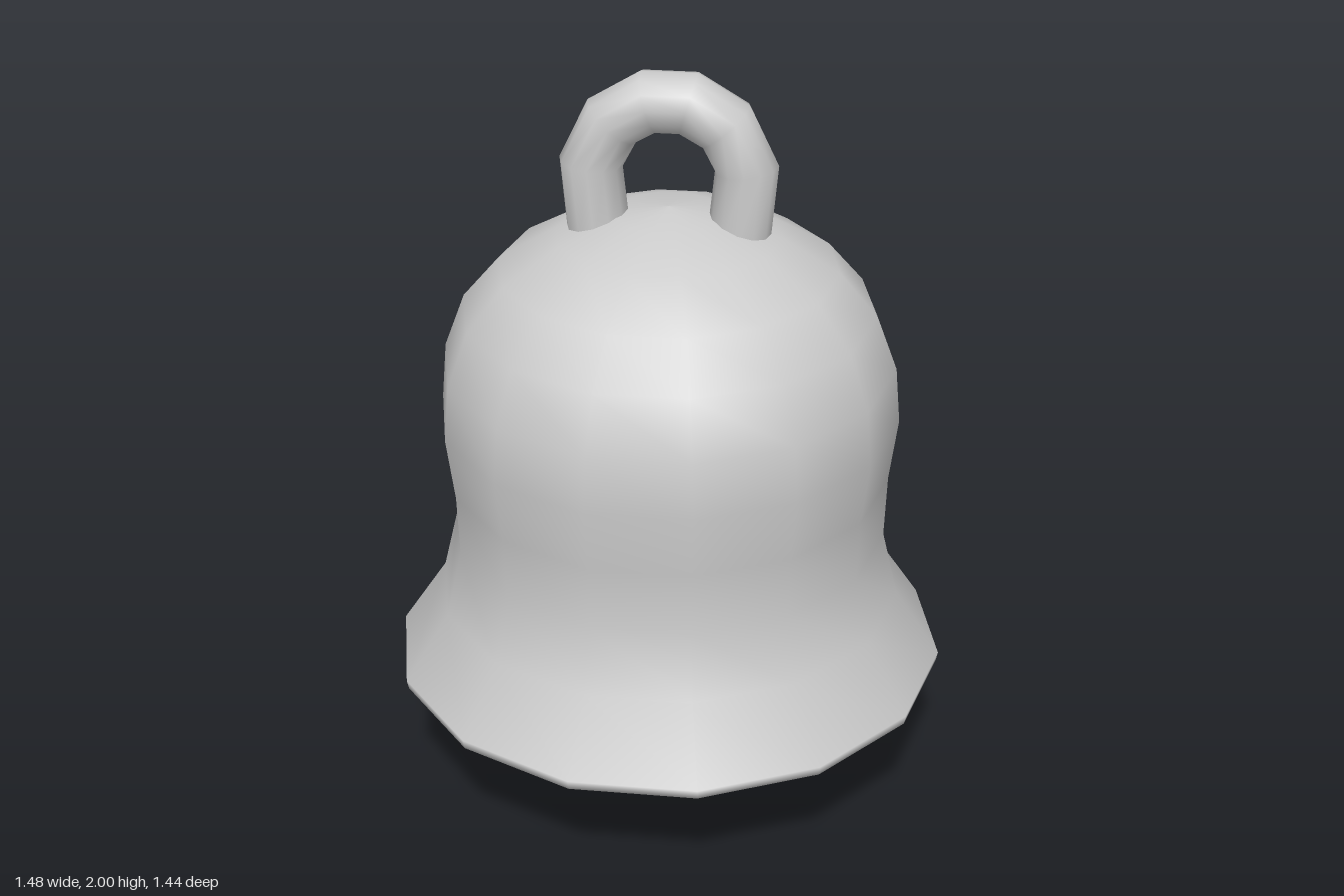
import * as THREE from 'three';

const SIDES = 14;
const material = new THREE.MeshStandardMaterial({ color: 0xcccccc });

function addPart(group, name, geometry) {
  const mesh = new THREE.Mesh(geometry, material);
  mesh.name = name;
  group.add(mesh);
  return mesh;
}

// Lathe with its corners on the x axis
function lathe(profile) {
  const points = profile.map(([r, y]) => new THREE.Vector2(r, y));
  return new THREE.LatheGeometry(points, SIDES, Math.PI / 2);
}

// Curve that runs straight between its points, one tube segment per span
class Polyline extends THREE.Curve {
  constructor(points) {
    super();
    this.points = points;
  }
  getPoint(t, target = new THREE.Vector3()) {
    const s = t * (this.points.length - 1);
    const i = Math.min(Math.floor(s), this.points.length - 2);
    return target.lerpVectors(this.points[i], this.points[i + 1], s - i);
  }
  getPointAt(u, target) { return this.getPoint(u, target); }
  getTangentAt(u, target) { return this.getTangent(u, target); }
}

export function createModel() {
  const bell = new THREE.Group();
  bell.name = 'bell';

  // Hollow shell: up the outside from the lip to the crown
  const outer = [
    [0.62, 0.32], [0.735, 0.343], [0.74, 0.368], [0.62, 0.55], [0.577, 0.73],
    [0.583, 0.9], [0.605, 1.07], [0.592, 1.22], [0.538, 1.365], [0.44, 1.48],
    [0.29, 1.57], [0.14, 1.625], [0, 1.643],
  ];
  // Inside wall, from the crown down to the lip
  const inner = [
    [0, 1.59], [0.14, 1.575], [0.27, 1.525], [0.405, 1.445], [0.495, 1.345],
    [0.547, 1.21], [0.56, 1.07], [0.54, 0.9], [0.535, 0.73], [0.565, 0.55], [0.6, 0.322],
  ];
  addPart(bell, 'shell', lathe([...inner, ...outer]));

  // Handle loop, half of it mirrored
  const half = [[0.178, 1.56], [0.197, 1.755], [0.143, 1.865], [0.05, 1.92]];
  const path = [
    ...half.map(([x, y]) => new THREE.Vector3(-x, y, 0)),
    ...half.slice().reverse().map(([x, y]) => new THREE.Vector3(x, y, 0)),
  ];
  addPart(bell, 'handle', new THREE.TubeGeometry(new Polyline(path), path.length - 1, 0.081, 12));

  // Clapper ball and the rod it hangs from
  const ball = addPart(bell, 'clapperBall', new THREE.SphereGeometry(0.31, SIDES, 10));
  ball.position.y = 0.31;
  const rod = addPart(bell, 'clapperRod', new THREE.CylinderGeometry(0.08, 0.08, 1.04, SIDES));
  rod.position.y = 1.08;

  return bell;
}
